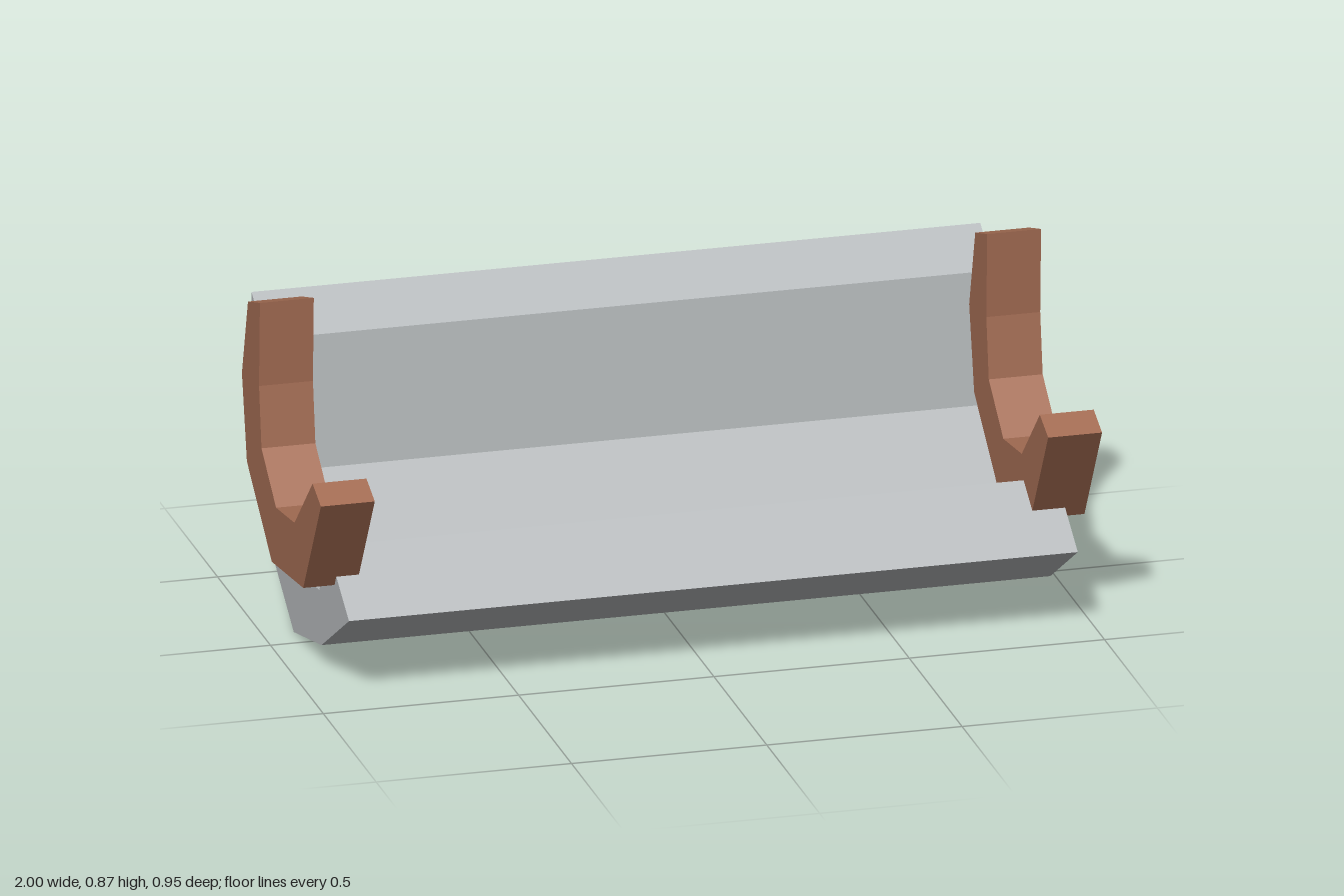
import * as THREE from 'three';

// Extrude a side profile of [z, y] points across the width from x0 to x1
function extrudeProfile(name, profile, x0, x1, material) {
  const shape = new THREE.Shape(profile.map(([z, y]) => new THREE.Vector2(z, y)));
  const geometry = new THREE.ExtrudeGeometry(shape, { depth: x1 - x0, bevelEnabled: false });
  geometry.rotateY(-Math.PI / 2); // profile x becomes z, depth runs along -x
  geometry.translate(x1, 0, 0);
  const mesh = new THREE.Mesh(geometry, material);
  mesh.name = name;
  return mesh;
}

export function createModel() {
  const grey = new THREE.MeshStandardMaterial({ name: 'grey', color: 0xb6babc });
  const brown = new THREE.MeshStandardMaterial({ name: 'brown', color: 0xa36c53 });

  // Long bent trough: outer side from front to back, then inner side
  const troughProfile = [
    [0.447, 0.217], [0.187, 0.06], [-0.075, 0], [-0.431, 0.233], [-0.475, 0.753],
    [-0.347, 0.674], [-0.313, 0.335], [-0.03, 0.175], [0.167, 0.198], [0.245, 0.342],
  ];

  // Curved end bracket, low at the front and tall at the back
  const bracketProfile = [
    [0.477, 0.538], [0.31, 0.263], [0.013, 0.225], [-0.223, 0.405], [-0.27, 0.621], [-0.213, 0.83],
    [-0.1, 0.867], [-0.108, 0.645], [-0.085, 0.489], [0.053, 0.382], [0.227, 0.405], [0.398, 0.57],
  ];

  const model = new THREE.Group();
  model.name = 'troughWithBrackets';
  model.add(
    extrudeProfile('trough', troughProfile, -0.92, 0.946, grey),
    extrudeProfile('leftBracket', bracketProfile, 0.862, 1, brown),
    extrudeProfile('rightBracket', bracketProfile, -1, -0.862, brown),
  );
  return model;
}
